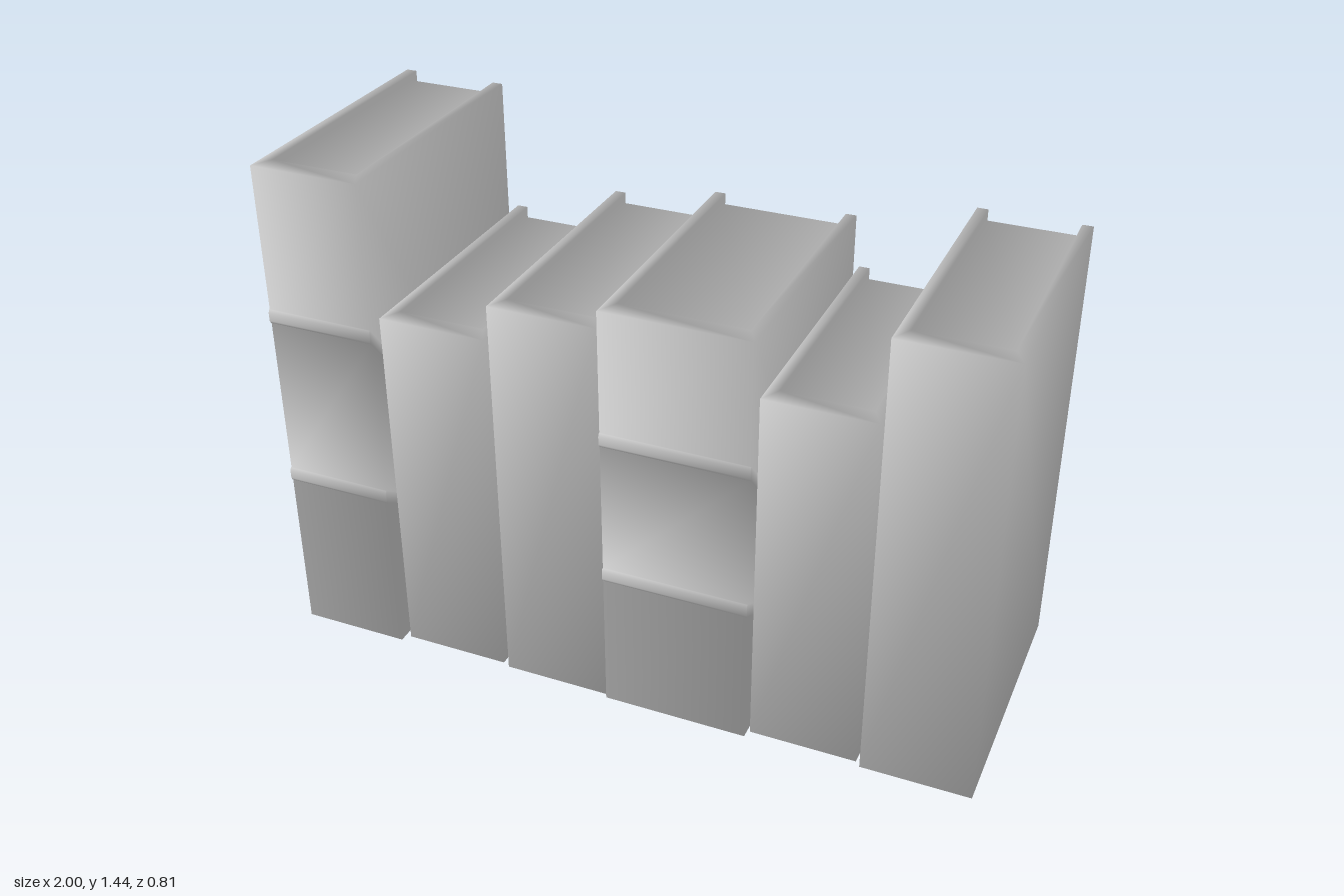
import * as THREE from 'three';

const material = new THREE.MeshStandardMaterial({ color: 0xcccccc });
const BOARD = 0.03;       // cover board thickness
const SPINE = 0.055;      // spine thickness
const INSET = 0.022;      // how far the pages sit inside the cover
const SIDE_WEIGHT = 1.75; // pull of the large boards on the smooth normals

// x range, y range, z range (fore-edge to spine), heights of the raised spine bands
const books = [
  { x: [-1, -0.69], y: [0.01, 1.44], z: [-0.38, 0.398], bands: [0.51, 1.01] },
  { x: [-0.67, -0.365], y: [0.015, 1.06], z: [-0.402, 0.38], bands: [] },
  { x: [-0.35, -0.045], y: [0.005, 1.16], z: [-0.402, 0.38], bands: [] },
  { x: [-0.035, 0.375], y: [0.01, 1.22], z: [-0.38, 0.398], bands: [0.435, 0.855] },
  { x: [0.385, 0.685], y: [0.015, 1.06], z: [-0.402, 0.38], bands: [] },
  { x: [0.695, 1], y: [0, 1.29], z: [-0.402, 0.38], bands: [] },
];

// Cross-section of one raised band: [outward, upward] offsets
const bandProfile = [[0, -0.02], [0.003, -0.02], [0.007, -0.012], [0.007, 0.012], [0.003, 0.02], [0, 0.02]];

// Collects flat polygons and gives shared corners one smooth normal
class SmoothShell {
  positions = [];
  cornerNormals = new Map();

  key(p) {
    return p.toArray().map((v) => Math.round(v * 1e4)).join();
  }

  // points: corners in order; outward: rough direction the face looks
  face(points, outward, weight = 1) {
    const corners = points.map((p) => new THREE.Vector3(...p));
    const out = new THREE.Vector3(...outward);
    const normal = new THREE.Vector3();
    corners.forEach((p, i) => {
      normal.add(new THREE.Vector3().crossVectors(p, corners[(i + 1) % corners.length]));
    });
    normal.normalize();
    if (normal.dot(out) < 0) {
      normal.negate();
      corners.reverse();
    }
    corners.forEach((p) => {
      const k = this.key(p);
      if (!this.cornerNormals.has(k)) this.cornerNormals.set(k, new THREE.Vector3());
      this.cornerNormals.get(k).addScaledVector(normal, weight);
    });
    // Flatten along the main axis to triangulate, then wind each triangle outward
    const size = normal.toArray().map(Math.abs);
    const drop = size.indexOf(Math.max(...size));
    const flat = corners.map((p) => new THREE.Vector2(...p.toArray().filter((_, i) => i !== drop)));
    for (const [i, j, k] of THREE.ShapeUtils.triangulateShape(flat, [])) {
      const [a, b, c] = [corners[i], corners[j], corners[k]];
      const turn = b.clone().sub(a).cross(c.clone().sub(a)).dot(normal);
      this.positions.push(...(turn > 0 ? [a, b, c] : [a, c, b]));
    }
  }

  geometry() {
    const geometry = new THREE.BufferGeometry().setFromPoints(this.positions);
    const normals = this.positions.flatMap((p) => (
      this.cornerNormals.get(this.key(p)).clone().normalize().toArray()));
    geometry.setAttribute('normal', new THREE.Float32BufferAttribute(normals, 3));
    return geometry;
  }
}

function makeBook({ x: [x0, x1], y: [y0, y1], z: [back, front], bands }) {
  const shell = new SmoothShell();
  const [a, b] = [x0 + BOARD, x1 - BOARD];
  const [low, high] = [y0 + INSET, y1 - INSET];
  const inner = front - SPINE;
  const edge = back + INSET;

  // U-shaped rims of the cover, top and bottom
  for (const [y, up] of [[y1, 1], [y0, -1]]) {
    const rim = [[x0, front], [x1, front], [x1, back], [b, back], [b, inner], [a, inner], [a, back], [x0, back]];
    shell.face(rim.map(([x, z]) => [x, y, z]), [0, up, 0]);
  }

  // Outside of the spine, with its raised bands
  const spine = [
    [front, y0],
    ...bands.flatMap((y) => bandProfile.map(([dz, dy]) => [front + dz, y + dy])),
    [front, y1],
  ];
  for (let i = 1; i < spine.length; i++) {
    const [[za, ya], [zb, yb]] = [spine[i - 1], spine[i]];
    shell.face([[x0, ya, za], [x1, ya, za], [x1, yb, zb], [x0, yb, zb]], [0, za - zb, yb - ya]);
  }

  // Boards: outer face, fore-edge and the inner strip around the pages
  const board = [...spine, [back, y1], [back, y0]];
  const strip = [[inner, y1], [back, y1], [back, y0], [inner, y0], [inner, low], [edge, low], [edge, high], [inner, high]];
  for (const [outer, inside, dir] of [[x0, a, -1], [x1, b, 1]]) {
    shell.face(board.map(([z, y]) => [outer, y, z]), [dir, 0, 0], SIDE_WEIGHT);
    shell.face([[outer, y0, back], [inside, y0, back], [inside, y1, back], [outer, y1, back]], [0, 0, -1]);
    shell.face(strip.map(([z, y]) => [inside, y, z]), [-dir, 0, 0]);
  }

  // Inside of the spine and the recessed ends of the pages
  for (const [rim, page, up] of [[y1, high, 1], [y0, low, -1]]) {
    shell.face([[a, page, inner], [b, page, inner], [b, rim, inner], [a, rim, inner]], [0, 0, -1]);
    shell.face([[a, page, inner], [b, page, inner], [b, page, edge], [a, page, edge]], [0, up, 0]);
  }

  // Fore-edge of the pages
  shell.face([[a, low, edge], [b, low, edge], [b, high, edge], [a, high, edge]], [0, 0, -1]);

  return new THREE.Mesh(shell.geometry(), material);
}

export function createModel() {
  const model = new THREE.Group();
  model.name = 'bookRow';
  books.forEach((spec, i) => {
    const book = makeBook(spec);
    book.name = `${spec.bands.length ? 'bandedBook' : 'plainBook'}${i + 1}`;
    model.add(book);
  });
  return model;
}
